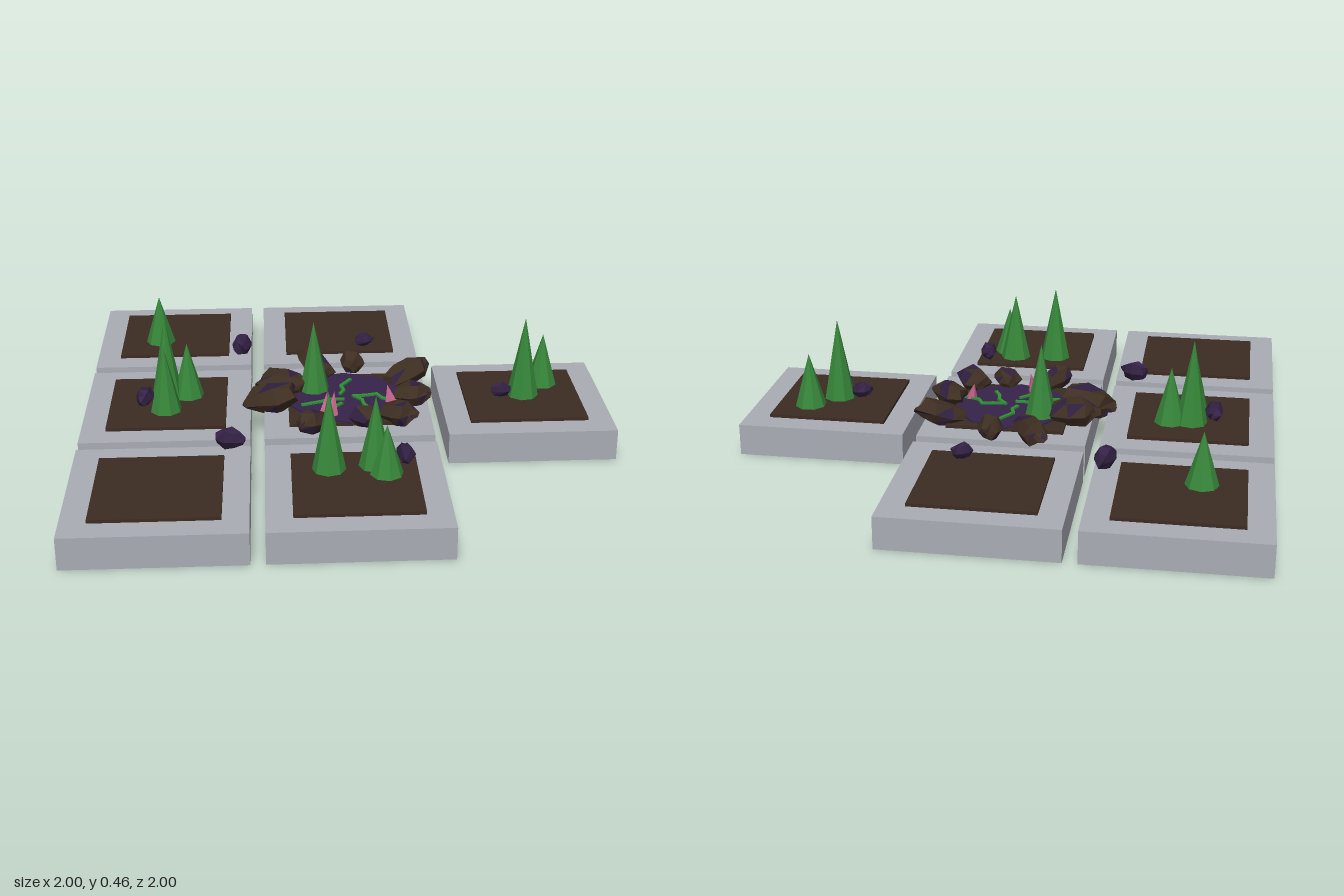
import * as THREE from 'three';

function material(name, color) {
  const m = new THREE.MeshStandardMaterial({ color, flatShading: true });
  m.name = name;
  return m;
}

export function createModel() {
  const stone = material('stone', 0xa9acb4);
  const soil = material('soil', 0x3c2c22);
  const scorched = material('scorched purple', 0x37234a);
  const rockBrown = material('rock brown', 0x3e2e22);
  const rockPurple = material('rock purple', 0x301f40);
  const leaf = material('leaf green', 0x37873a);
  const vineGreen = material('vine green', 0x2f8f35);
  const pink = material('crystal pink', 0xc4628c);

  const model = new THREE.Group();
  model.name = 'gardenTiles';

  let seed = 11;
  const rand = () => (seed = (seed * 16807) % 2147483647) / 2147483647;

  function add(parent, name, geometry, mat, x, y, z) {
    const mesh = new THREE.Mesh(geometry, mat);
    mesh.name = name;
    mesh.position.set(x, y, z);
    parent.add(mesh);
    return mesh;
  }

  // Stone slabs with soil beds; the two right corners are left empty
  const step = 0.684;
  for (const [col, row] of [[-1, -1], [0, -1], [-1, 0], [0, 0], [1, 0], [-1, 1], [0, 1]]) {
    const tile = new THREE.Group();
    tile.name = 'tile';
    tile.position.set(col * step, 0, row * step);
    add(tile, 'slab', new THREE.BoxGeometry(0.632, 0.12, 0.632), stone, 0, 0.06, 0);
    add(tile, 'soilBed', new THREE.BoxGeometry(0.446, 0.02, 0.446), soil, 0, 0.122, 0);
    model.add(tile);
  }

  // Conical bushes: x, z, tip height
  const bushes = [
    [-0.75, -0.61, 0.33], [-0.69, -0.055, 0.46], [-0.61, -0.06, 0.35], [-0.69, 0.07, 0.39],
    [0.78, -0.1, 0.34], [0.69, 0, 0.45], [-0.09, 0.585, 0.43], [0.075, 0.565, 0.4],
    [0.11, 0.63, 0.32], [-0.12, -0.08, 0.42],
  ];
  bushes.forEach(([x, z, tip], i) => {
    const h = tip - 0.125;
    const bush = add(model, 'bush', new THREE.ConeGeometry(0.062, h, 8), leaf, x, 0.125 + h / 2, z);
    bush.rotation.y = i * 0.9;
  });

  // Faceted boulder pointing along +x before it is turned
  function boulder(parent, name, length, height, width, colors, purpleShare) {
    const profile = [[0, -0.5], [0.32, -0.42], [0.5, -0.08], [0.42, 0.24], [0.17, 0.47], [0, 0.5]];
    const geo = new THREE.LatheGeometry(profile.map(([r, y]) => new THREE.Vector2(r, y)), 6).toNonIndexed();
    const phase = rand() * 6;
    const pos = geo.attributes.position;
    // Positions alone decide the shift, so shared corners stay joined
    for (let i = 0; i < pos.count; i++) {
      const x = pos.getX(i), y = pos.getY(i), z = pos.getZ(i);
      const k = 1 + 0.12 * Math.sin(9 * x + 7 * y + 11 * z + phase);
      pos.setXYZ(i, x * k, y + 0.08 * Math.sin(8 * x - 9 * z + phase), z * k);
    }
    geo.rotateZ(-Math.PI / 2);
    geo.scale(length, height, width);
    geo.computeVertexNormals();
    for (let i = 0; i < pos.count; i += 3) geo.addGroup(i, 3, rand() < purpleShare ? 1 : 0);
    return add(parent, name, geo, colors, 0, 0, 0);
  }

  // Crater: dark floor ringed by boulders
  const crater = new THREE.Group();
  crater.name = 'crater';
  model.add(crater);
  add(crater, 'craterFloor', new THREE.CylinderGeometry(0.225, 0.225, 0.012, 10), scorched, 0, 0.132, 0);

  // x, z, direction in the ground plane, length, width, height, outward lift
  const ring = [
    [-0.11, -0.285, -0.1, -0.21, 0.24, 0.12, 0.1, 0.1],
    [0.04, -0.295, 0.02, -0.1, 0.12, 0.1, 0.1, 0.1],
    [0.25, -0.17, 0.18, -0.09, 0.2, 0.13, 0.1, 0.3],
    [0.255, 0.03, 0.1, 0.02, 0.13, 0.11, 0.1, 0.1],
    [0.19, 0.2, 0.1, 0.08, 0.14, 0.13, 0.1, 0.15],
    [0.06, 0.235, 0.02, 0.1, 0.12, 0.11, 0.09, 0.1],
    [-0.14, 0.26, -0.08, 0.11, 0.15, 0.1, 0.1, 0.2],
    [-0.29, 0.045, -0.2, 0, 0.2, 0.15, 0.12, -0.25],
    [-0.245, -0.09, -0.18, -0.02, 0.19, 0.16, 0.12, 0.1],
  ];
  for (const [x, z, dx, dz, length, width, height, lift] of ring) {
    const rock = boulder(crater, 'craterBoulder', length, height, width, [rockBrown, rockPurple], 0.22);
    rock.position.set(x, 0.16, z);
    rock.rotation.set(0, Math.atan2(-dz, dx), lift);
  }

  // Loose purple stones: x, z, turn, length, width, height
  const stones = [
    [-0.405, -0.495, 1.45, 0.14, 0.075, 0.08], [0.105, -0.515, 0.3, 0.075, 0.07, 0.06],
    [-0.44, 0.385, -0.4, 0.11, 0.075, 0.08], [0.185, 0.53, 1.5, 0.11, 0.07, 0.07],
    [0.605, 0.015, 0.3, 0.08, 0.07, 0.06], [-0.775, 0, 1.4, 0.12, 0.075, 0.07],
  ];
  for (const [x, z, turn, length, width, height] of stones) {
    const rock = boulder(model, 'looseStone', length, height, width, [rockPurple, scorched], 0.25);
    rock.position.set(x, 0.16, z);
    rock.rotation.y = turn;
  }

  // Creeping vines drawn as chains of thin bars on the crater floor
  const vines = [
    [[0.025, -0.15], [-0.015, -0.09], [-0.005, -0.05], [-0.02, -0.02]],
    [[0.03, 0], [0.06, 0.04], [0.065, 0.08], [0.085, 0.12]],
    [[0.03, 0.005], [0.08, 0], [0.12, -0.01], [0.14, 0.03], [0.2, 0.05]],
    [[-0.01, 0.03], [-0.06, 0.03], [-0.1, 0.05], [-0.17, 0.075]],
    [[-0.02, 0.07], [-0.05, 0.1], [-0.07, 0.14], [-0.11, 0.15]],
  ];
  for (const path of vines) {
    for (let i = 1; i < path.length; i++) {
      const [x0, z0] = path[i - 1], [x1, z1] = path[i];
      const dx = x1 - x0, dz = z1 - z0;
      const bar = add(crater, 'vine', new THREE.BoxGeometry(Math.hypot(dx, dz) + 0.008, 0.009, 0.013),
        vineGreen, (x0 + x1) / 2, 0.141, (z0 + z1) / 2);
      bar.rotation.y = Math.atan2(-dz, dx);
    }
  }

  // Pink crystals: x, z, height, lean about x and z
  for (const [x, z, h, leanX, leanZ] of [
    [-0.085, 0.165, 0.1, -0.35, -0.15], [-0.055, 0.145, 0.09, -0.3, -0.1], [0.165, 0.045, 0.07, -0.2, 0.2],
  ]) {
    const crystal = add(crater, 'crystal', new THREE.ConeGeometry(0.024, h, 5), pink, x, 0.133 + h / 2, z);
    crystal.rotation.set(leanX, 0, leanZ);
  }

  return model;
}
